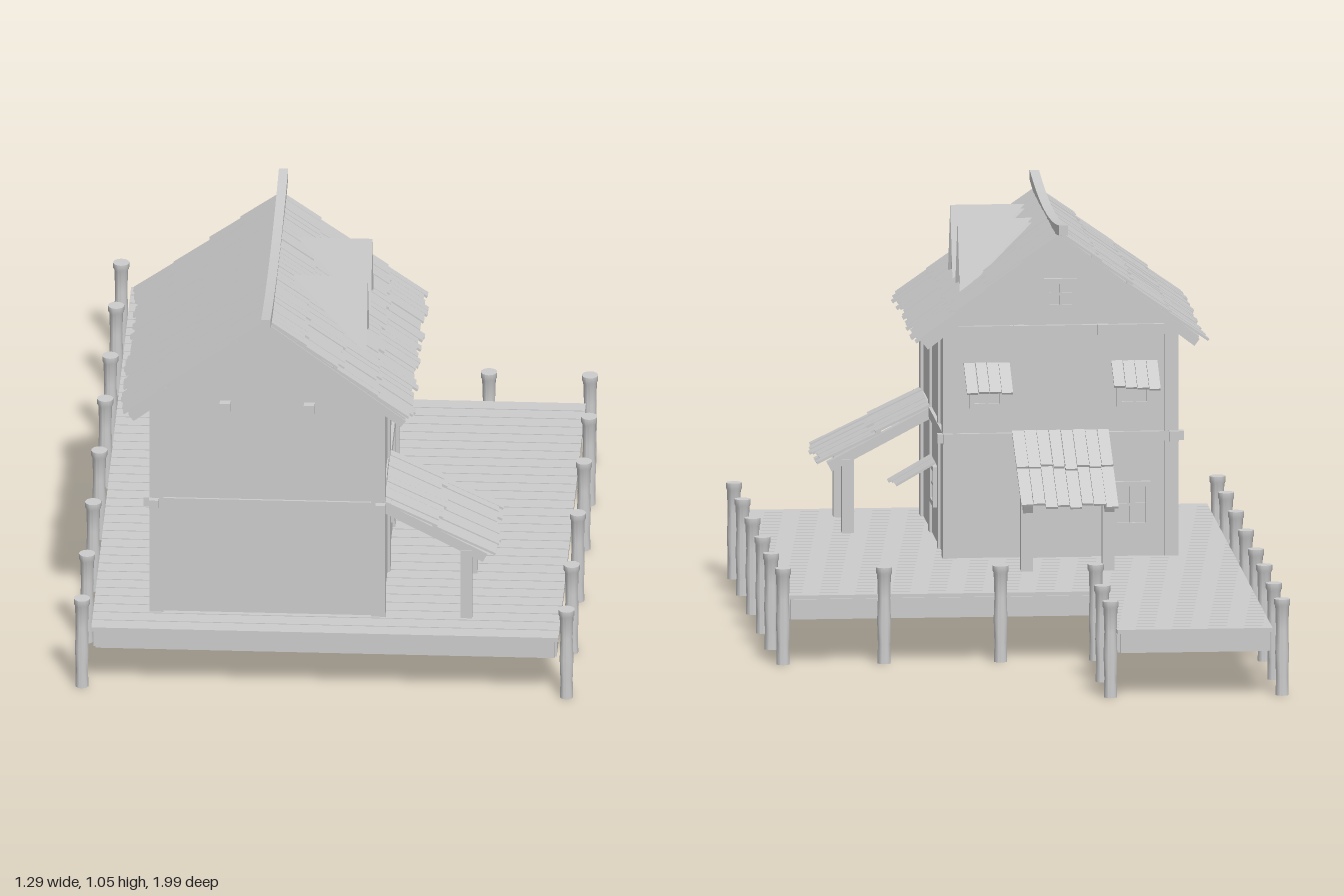
import * as THREE from 'three';
import { toCreasedNormals } from 'three/addons/utils/BufferGeometryUtils.js';

const mat = new THREE.MeshStandardMaterial({ color: 0xcccccc });
const thinMat = new THREE.MeshStandardMaterial({ color: 0xcccccc, side: THREE.DoubleSide });

let seed = 7;
const rand = () => (seed = (seed * 16807) % 2147483647) / 2147483647;

function add(parent, name, geo, x = 0, y = 0, z = 0, material = mat) {
  const m = new THREE.Mesh(geo, material);
  m.name = name;
  m.position.set(x, y, z);
  parent.add(m);
  return m;
}
const box = (parent, name, w, h, d, x, y, z) =>
  add(parent, name, new THREE.BoxGeometry(w, h, d), x, y, z);

function group(parent, name, x = 0, y = 0, z = 0, yaw = 0) {
  const g = new THREE.Group();
  g.name = name;
  g.position.set(x, y, z);
  g.rotation.y = yaw;
  parent.add(g);
  return g;
}

// Overlapping rows of uneven boards running down local +z
function boards(parent, name, width, length, rows, boardWidth) {
  const n = Math.round(width / boardWidth), w = width / n;
  const step = length / rows;
  for (let r = 0; r < rows; r++) {
    for (let i = 0; i < n; i++) {
      const start = Math.max(0, r * step - 0.02);
      const end = (r + 1) * step + (rand() - 0.5) * 0.022;
      const lift = 0.002 + rand() * 0.003;
      const b = box(parent, name, w * (0.9 + rand() * 0.1), 0.006, end - start,
        -width / 2 + (i + 0.5) * w, lift + 0.004, (start + end) / 2);
      b.rotation.x = rows > 1 ? -0.04 : 0;
    }
  }
}

// Lean-to awning: local +z points away from the wall
function awning(parent, name, x, y, z, yaw, width, run, drop, rows, postOut = 0) {
  const g = group(parent, name, x, y, z, yaw);
  const slope = group(g, 'slope');
  const length = Math.hypot(run, drop);
  slope.rotation.x = Math.atan2(drop, run);
  boards(slope, 'awningBoard', width, length, rows, 0.03);
  if (!postOut) return;
  const sx = width / 2 - 0.02;
  for (const s of [-1, 1]) {
    box(slope, 'awningRafter', 0.025, 0.026, length - 0.02, s * sx, -0.013, length / 2 - 0.01);
    const top = -postOut * drop / run - 0.02, bottom = 0.175 - y;
    box(g, 'awningPost', 0.03, top - bottom, 0.03, s * sx, (top + bottom) / 2, postOut);
  }
  box(slope, 'awningCrossbeam', width - 0.03, 0.018, 0.02, 0, -0.012, postOut * length / run);
}

// Framed window with a cross bar, local +z outward
function windowFrame(parent, x, y, z, yaw, w, h) {
  const g = group(parent, 'window', x, y, z, yaw);
  const t = 0.013;
  box(g, 'windowPane', w, h, 0.004, 0, 0, 0.001);
  for (const s of [-1, 1]) {
    box(g, 'windowSide', t, h, 0.016, s * (w - t) / 2, 0, 0.004);
    box(g, 'windowRail', w, t, 0.016, 0, s * (h - t) / 2, 0.004);
  }
  box(g, 'windowBar', 0.007, h, 0.01, 0, 0, 0.004);
  box(g, 'windowCrossBar', w, 0.007, 0.01, 0, 0, 0.004);
}

function buildDeck(root) {
  const g = group(root, 'deck');
  // Planks across the wide platform and the narrow pier
  const n = 42, pitch = 1.98 / n;
  for (let i = 0; i < n; i++) {
    const z = -0.99 + (i + 0.5) * pitch;
    const right = z < -0.385 ? -0.2 : 0.6;
    box(g, 'deckPlank', right + 0.6, 0.011, pitch - 0.004, (right - 0.6) / 2, 0.17, z);
  }
  // Rim beams
  const rimY = 0.14, h = 0.052, t = 0.02;
  const rimX = (x0, x1, z) => box(g, 'rimBeam', x1 - x0, h, t, (x0 + x1) / 2, rimY, z);
  const rimZ = (z0, z1, x) => box(g, 'rimBeam', t, h, z1 - z0, x, rimY, (z0 + z1) / 2);
  rimX(-0.59, 0.59, 0.97);
  rimX(-0.2, 0.59, -0.37);
  rimX(-0.59, -0.21, -0.97);
  rimZ(-0.97, 0.97, -0.585);
  rimZ(-0.97, -0.37, -0.21);
  rimZ(-0.37, 0.97, 0.585);

  // Round mooring posts
  const profile = [[0, 0], [0.017, 0], [0.016, 0.05], [0.018, 0.11], [0.016, 0.17],
    [0.018, 0.23], [0.021, 0.236], [0.021, 0.25], [0, 0.25]].map(p => new THREE.Vector2(...p));
  const post = toCreasedNormals(new THREE.LatheGeometry(profile, 14), 0.7);
  const spots = [[-0.183, -0.98], [-0.183, -0.73], [-0.195, -0.395], [0.05, -0.395],
    [0.35, -0.395], [0.61, -0.39], [0.62, -0.15], [0.62, 0.11], [0.62, 0.41], [0.62, 0.71], [0.62, 0.97]];
  for (const z of [-0.98, -0.73, -0.44, -0.19, 0.11, 0.41, 0.71, 0.97]) spots.push([-0.625, z]);
  for (const [x, z] of spots) add(g, 'mooringPost', post, x, 0, z);
}

const CX = -0.153, Z0 = 0.18, Z1 = 0.88, ZC = 0.53;

function buildHouse(root) {
  const g = group(root, 'house');
  // Gabled wall block
  const s = new THREE.Shape();
  s.moveTo(-0.295, 0.17).lineTo(0.295, 0.17).lineTo(0.295, 0.775).lineTo(0, 0.998).lineTo(-0.295, 0.775);
  add(g, 'walls', new THREE.ExtrudeGeometry(s, { depth: Z1 - Z0, bevelEnabled: false }), CX, 0, Z0);

  // Timber frame: corner and side posts, belt beams, long tie beams
  for (const side of [-1, 1]) {
    const x = CX + side * 0.285;
    for (const z of [Z0 + 0.01, Z1 - 0.01]) box(g, 'cornerPost', 0.036, 0.61, 0.036, x, 0.475, z);
    for (const z of [0.35, 0.61]) box(g, 'sidePost', 0.034, 0.61, 0.035, x, 0.475, z);
    box(g, 'sideBelt', 0.025, 0.026, 0.75, x + side * 0.006, 0.488, ZC);
    box(g, 'tieBeam', 0.028, 0.028, 0.74, CX + side * 0.108, 0.766, ZC);
  }
  for (const z of [Z0 - 0.002, Z1 - 0.004]) box(g, 'endBelt', 0.635, 0.024, 0.02, CX, 0.488, z);
  box(g, 'gableBeam', 0.6, 0.026, 0.02, CX, 0.766, Z0 - 0.002);

  // Door and windows
  box(g, 'door', 0.13, 0.23, 0.012, CX, 0.29, Z0 - 0.002);
  for (const e of [-1, 1]) box(g, 'doorJamb', 0.018, 0.24, 0.022, CX + e * 0.07, 0.295, Z0 - 0.002);
  box(g, 'doorLintel', 0.165, 0.02, 0.022, CX, 0.42, Z0 - 0.002);
  windowFrame(g, -0.335, 0.31, Z0, Math.PI, 0.1, 0.12);
  windowFrame(g, CX, 0.86, Z0, Math.PI, 0.085, 0.08);
  windowFrame(g, 0.142, 0.32, 0.475, Math.PI / 2, 0.105, 0.105);
  for (const e of [-1, 1]) {
    const x = CX + e * 0.19;
    windowFrame(g, x, 0.615, Z0, Math.PI, 0.09, 0.1);
    awning(g, 'windowAwning', x, 0.675, Z0, Math.PI, 0.12, 0.1, 0.058, 1);
  }
  awning(g, 'windowAwning', 0.145, 0.38, 0.475, Math.PI / 2, 0.12, 0.105, 0.06, 1);
  awning(g, 'backAwning', CX, 0.5, Z0, Math.PI, 0.25, 0.285, 0.155, 2, 0.21);
  awning(g, 'sideAwning', 0.145, 0.5, 0.74, Math.PI / 2, 0.3, 0.285, 0.15, 2, 0.213);
}

function buildRoof(root) {
  const g = group(root, 'roof');
  const run = 0.365, drop = 0.277, length = Math.hypot(run, drop);
  for (const side of [-1, 1]) {
    const half = group(g, 'roofSide', CX, 1.012, 0.525, side * Math.PI / 2);
    const slope = group(half, 'slope');
    slope.rotation.x = Math.atan2(drop, run);
    box(slope, 'roofSlab', 0.735, 0.008, length - 0.015, 0, 0, length / 2 - 0.007);
    for (const e of [-1, 1])
      box(slope, 'bargeBoard', 0.02, 0.022, length - 0.01, e * 0.36, -0.012, length / 2 - 0.005);
    boards(slope, 'shingle', 0.745, length, 4, 0.026);
  }
  // Sagging ridge beam
  const ridge = new THREE.BoxGeometry(0.024, 0.026, 0.88, 1, 1, 14);
  const p = ridge.attributes.position;
  for (let i = 0; i < p.count; i++) p.setY(i, p.getY(i) + 0.032 * (p.getZ(i) / 0.44) ** 2);
  ridge.computeVertexNormals();
  add(g, 'ridgeBeam', toCreasedNormals(ridge, 0.6), CX, 1.008, 0.522);

  // Tent-shaped dormers: level ridge, wings widening to the front
  for (const z of [0.41, 0.63]) {
    const d = group(g, 'dormer', 0, 0, z);
    for (const [name, front, top, low, w] of [['dormerRoof', 0.092, 1.02, 0.832, 0.07], ['dormerLining', 0.09, 1.008, 0.83, 0.062]]) {
      const wings = new THREE.BufferGeometry();
      wings.setAttribute('position', new THREE.Float32BufferAttribute([
        -0.1, top, 0, front, low, w, front, top, 0,
        -0.1, top, 0, front, top, 0, front, low, -w], 3));
      wings.computeVertexNormals();
      add(d, name, wings, 0, 0, 0, thinMat);
    }
    const face = new THREE.Shape();
    face.moveTo(-0.062, 0.82).lineTo(0.062, 0.82).lineTo(0, 1.006);
    add(d, 'dormerFace', new THREE.ShapeGeometry(face), 0.084, 0, 0, thinMat).rotation.y = Math.PI / 2;
  }
}

export function createModel() {
  const root = new THREE.Group();
  root.name = 'dockHouse';
  buildDeck(root);
  buildHouse(root);
  buildRoof(root);
  return root;
}
